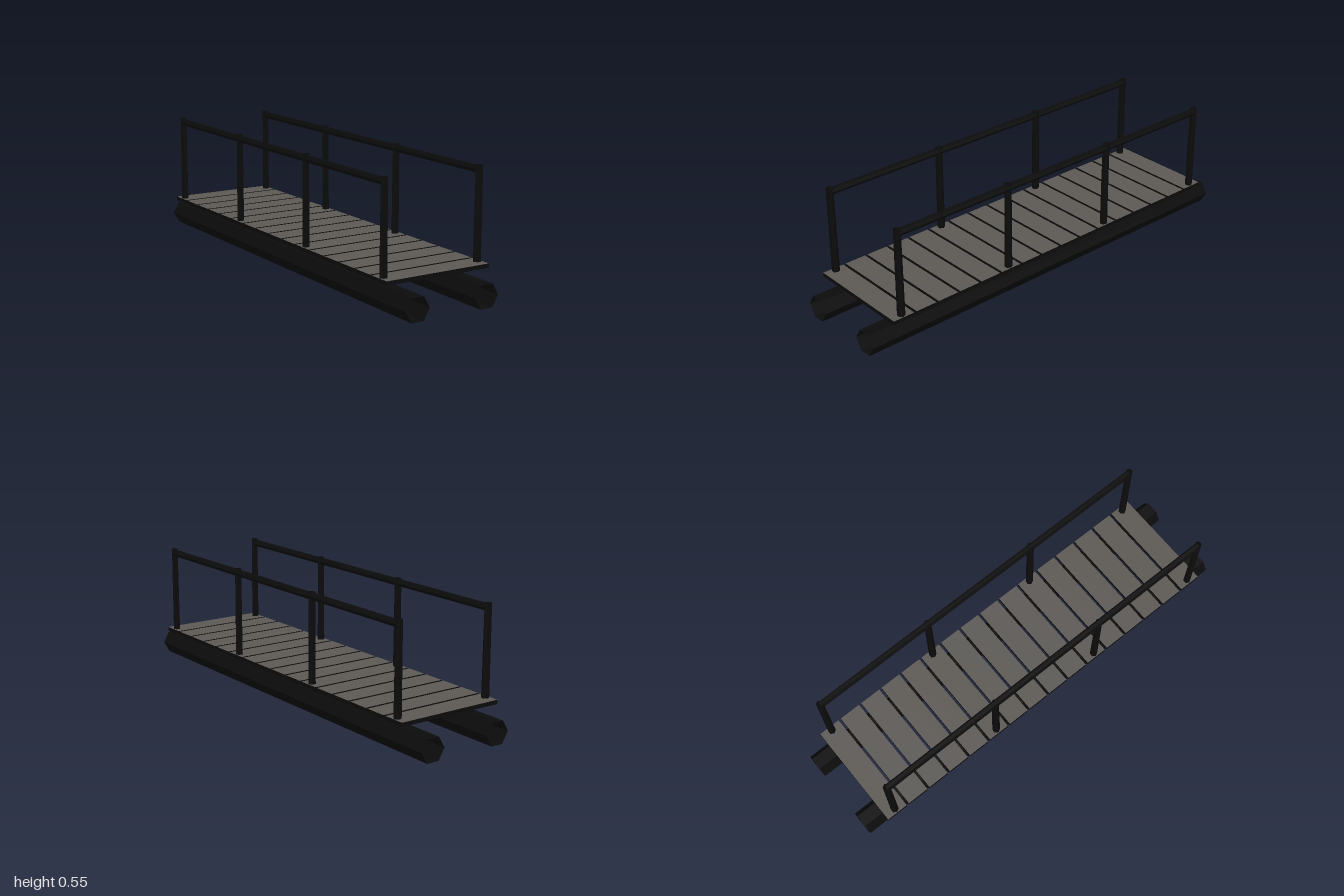
import * as THREE from 'three';

export function createModel() {
  const bridge = new THREE.Group();
  bridge.name = 'footbridge';

  const darkWood = new THREE.MeshStandardMaterial({ color: 0x0b0b0b, flatShading: true, side: THREE.DoubleSide });
  darkWood.name = 'darkWood';
  const plankTop = new THREE.MeshStandardMaterial({ color: 0x5c5955 });
  plankTop.name = 'plankTop';

  const add = (name, geometry, material, x, y, z) => {
    const mesh = new THREE.Mesh(geometry, material);
    mesh.name = name;
    mesh.position.set(x, y, z);
    bridge.add(mesh);
  };

  // Open six-sided pole with corners pointing along x
  const pole = (rTop, rBottom, length) =>
    new THREE.CylinderGeometry(rTop, rBottom, length, 6, 1, true, Math.PI / 2);

  const endZ = 0.857;
  const deckY = 0.144;
  const postTop = 0.551;
  const postHeight = postTop - deckY;

  const logGeo = pole(0.057, 0.057, 2).rotateX(Math.PI / 2);
  const railGeo = pole(0.016, 0.016, endZ * 2).rotateX(Math.PI / 2);
  const postGeo = pole(0.0155, 0.0172, postHeight);
  const plankGeo = new THREE.BoxGeometry(0.5, 0.018, 0.102);

  // Deck planks: pale upper face, dark edges and underside
  const plankMaterials = [darkWood, darkWood, plankTop, darkWood, darkWood, darkWood];
  const planks = 16;
  for (let i = 0; i < planks; i++) {
    const z = -endZ + (2 * endZ * i) / (planks - 1);
    add('plank', plankGeo, plankMaterials, 0, deckY, z);
  }

  // Bearer logs, posts and handrails on each side
  for (const side of [-1, 1]) {
    add('bearerLog', logGeo, darkWood, side * 0.168, 0.0505, 0);
    add('handrail', railGeo, darkWood, side * 0.23, 0.532, 0);
    for (let i = 0; i < 4; i++) {
      const z = -endZ + (2 * endZ * i) / 3;
      add('railPost', postGeo, darkWood, side * 0.23, deckY + postHeight / 2, z);
    }
  }
  return bridge;
}
